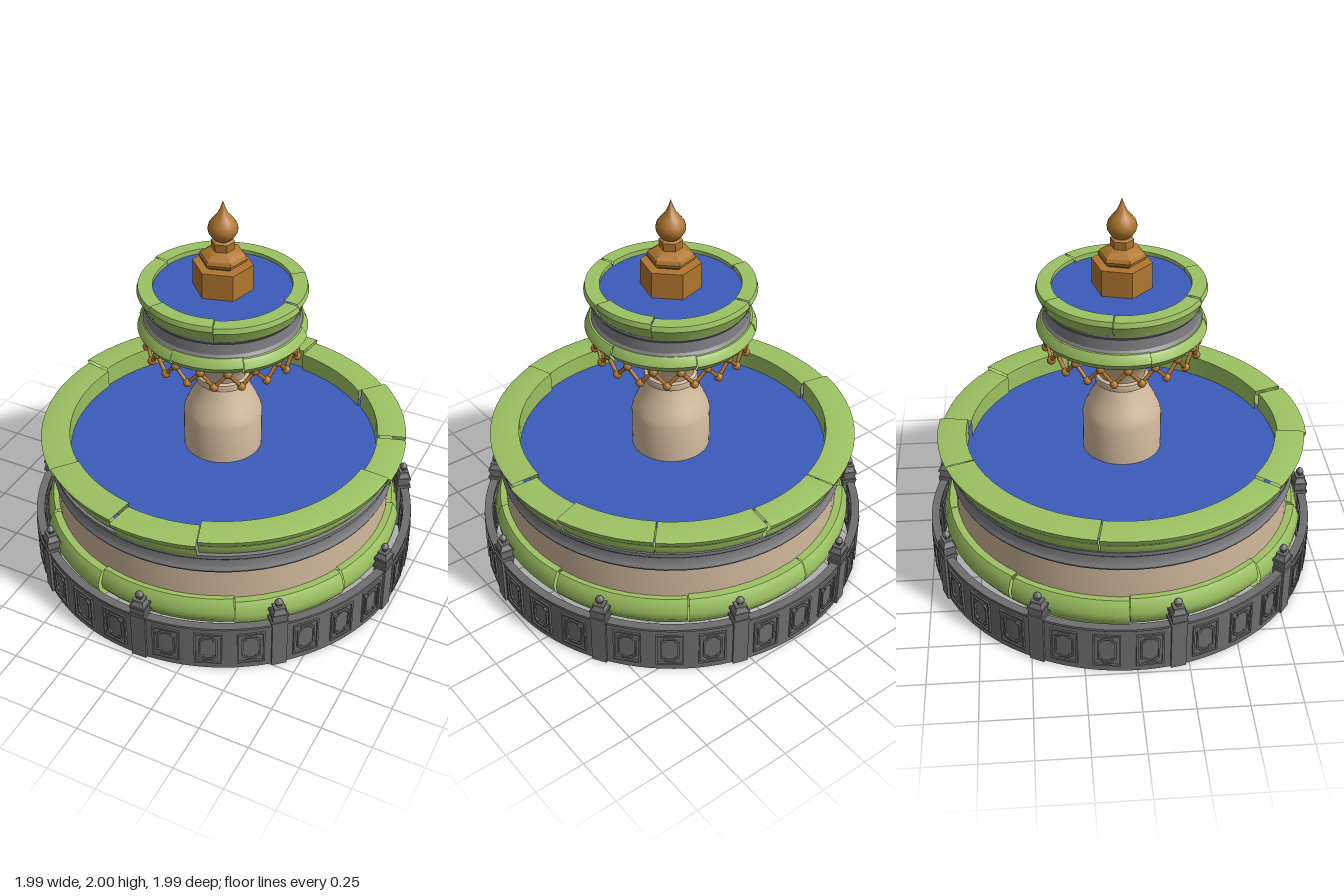
import * as THREE from 'three';
import { toCreasedNormals } from 'three/addons/utils/BufferGeometryUtils.js';

const paint = (name, color, side = THREE.FrontSide) => {
  const m = new THREE.MeshStandardMaterial({ color, side });
  m.name = name;
  return m;
};
const DEG = Math.PI / 180;

export function createModel() {
  const green = paint('green trim', 0x9cc262, THREE.DoubleSide);
  const grey = paint('grey band', 0x808084);
  const iron = paint('dark grey fence', 0x6e6e6f);
  const stone = paint('beige stone', 0xd2b99c);
  const bronze = paint('bronze', 0xb0762e);
  const blue = paint('blue water', 0x3c5cbc);

  const model = new THREE.Group();
  model.name = 'fountain';

  const add = (parent, name, geo, mat, x = 0, y = 0, z = 0) => {
    const mesh = new THREE.Mesh(geo, mat);
    mesh.name = name;
    mesh.position.set(x, y, z);
    parent.add(mesh);
    return mesh;
  };
  // Turned part from [radius, height] pairs, listed counterclockwise
  const turn = (pts, segs = 64, start = 0, length = Math.PI * 2, crease = 0.5) =>
    toCreasedNormals(new THREE.LatheGeometry(
      pts.map(([r, y]) => new THREE.Vector2(r, y)), segs, start, length), crease);

  // Ring of separate kerb stones, each slightly out of line
  const stoneRing = (name, profile, seams, jitter) => {
    const group = new THREE.Group();
    group.name = name;
    seams.forEach((a, i) => {
      const b = i + 1 < seams.length ? seams[i + 1] : seams[0] + 360;
      const dr = Math.sin(i * 2.4 + 1) * jitter, dy = Math.cos(i * 3.1) * jitter * 0.7;
      const pts = profile.map(([r, y]) => [r + dr, y + dy]);
      pts.push(pts[0]);
      add(group, 'kerbStone', turn(pts, Math.max(4, Math.round((b - a) / 5)),
        (a + 0.15) * DEG, (b - a - 0.3) * DEG), green);
    });
    model.add(group);
  };

  // Main basin
  add(model, 'basinDrum', turn([[0, 0.34], [0.86, 0.34], [0.86, 0.54]]), stone);
  add(model, 'basinBand', turn([[0.85, 0.525], [0.872, 0.525], [0.876, 0.535], [0.87, 0.55],
    [0.866, 0.56], [0.868, 0.6], [0.876, 0.61], [0.878, 0.63], [0.8, 0.635]]), grey);
  add(model, 'basinWater', new THREE.CircleGeometry(0.81, 64).rotateX(-Math.PI / 2), blue, 0, 0.64, 0);
  stoneRing('lowerKerb', [[0.775, 0.2], [0.88, 0.2], [0.915, 0.25], [0.92, 0.29], [0.905, 0.335],
    [0.89, 0.358], [0.775, 0.36]], [-172, -130, -92, -48, -14, 30, 66, 105, 148], 0.008);
  stoneRing('upperKerb', [[0.78, 0.63], [0.872, 0.63], [0.885, 0.65], [0.89, 0.68], [0.915, 0.71],
    [0.925, 0.738], [0.91, 0.743], [0.78, 0.743]], [-161, -101, -39, -8, 19, 87, 108, 138, 172], 0.009);

  // Column and flared bowl
  add(model, 'column', turn([[0.198, 0.6], [0.198, 0.84], [0.19, 0.87], [0.168, 0.92], [0.142, 0.97],
    [0.125, 1.02], [0.132, 1.025], [0.135, 1.04], [0.132, 1.06], [0.115, 1.065], [0.122, 1.09],
    [0.145, 1.14], [0.18, 1.19], [0.225, 1.25], [0.28, 1.3], [0.36, 1.325]], 48), stone);

  // Upper bowl
  add(model, 'bowlBand', turn([[0.35, 1.38], [0.385, 1.39], [0.374, 1.405], [0.372, 1.46],
    [0.383, 1.475], [0.383, 1.49], [0.34, 1.5]]), grey);
  stoneRing('bowlLowerTrim', [[0.33, 1.31], [0.388, 1.31], [0.414, 1.345], [0.402, 1.375],
    [0.39, 1.39], [0.33, 1.39]], [-140, -75, -10, 40, 100, 160], 0.004);
  stoneRing('bowlUpperTrim', [[0.335, 1.485], [0.385, 1.485], [0.395, 1.51], [0.412, 1.545],
    [0.405, 1.57], [0.335, 1.57]], [-155, -100, -30, 20, 85, 130], 0.004);
  add(model, 'bowlWater', new THREE.CircleGeometry(0.35, 48).rotateX(-Math.PI / 2), blue, 0, 1.548, 0);

  // Zigzag bead garland under the bowl
  const garland = new THREE.Group();
  garland.name = 'garland';
  model.add(garland);
  const bead = new THREE.SphereGeometry(0.021, 12, 8);
  const count = 36;
  const beadAt = i => {
    const a = (i / count) * Math.PI * 2;
    return new THREE.Vector3(Math.sin(a) * 0.372, i % 2 ? 1.295 : 1.222, Math.cos(a) * 0.372);
  };
  const up = new THREE.Vector3(0, 1, 0);
  for (let i = 0; i < count; i++) {
    const p = beadAt(i), q = beadAt(i + 1), d = q.clone().sub(p);
    add(garland, 'bead', bead, bronze, p.x, p.y, p.z);
    const link = add(garland, 'link', new THREE.CylinderGeometry(0.01, 0.01, d.length(), 6), bronze);
    link.position.copy(p).addScaledVector(d, 0.5);
    link.quaternion.setFromUnitVectors(up, d.normalize());
  }

  // Bronze finial on a hexagonal block
  const finial = new THREE.Group();
  finial.name = 'finial';
  finial.rotation.y = -15 * DEG;
  model.add(finial);
  add(finial, 'finialBlock', turn([[0, 1.53], [0.147, 1.53], [0.147, 1.68], [0, 1.68]], 6), bronze);
  add(finial, 'finialCushion', turn([[0, 1.675], [0.09, 1.68], [0.113, 1.695], [0.117, 1.71],
    [0.108, 1.728], [0.08, 1.745], [0.055, 1.755], [0.058, 1.795], [0.045, 1.803], [0, 1.805]], 6), bronze);
  add(finial, 'finialBulb', turn([[0.03, 1.795], [0.052, 1.815], [0.068, 1.84], [0.072, 1.86], [0.066, 1.885],
    [0.048, 1.91], [0.026, 1.935], [0.012, 1.965], [0, 2]], 24, 0, Math.PI * 2, 0.9), bronze);

  // Round fence
  const fence = new THREE.Group();
  fence.name = 'fence';
  fence.position.z = -0.01;
  model.add(fence);
  add(fence, 'fenceWall', turn([[0.95, 0], [0.982, 0], [0.982, 0.245], [0.987, 0.25], [0.987, 0.262],
    [0.945, 0.262], [0.945, 0.25], [0.95, 0.245], [0.95, 0]], 108), iron);

  // Border plate with cut corners (c = 0 gives a plain rectangle)
  const outline = (T, w, h, c) => {
    const s = new T();
    const pts = c ? [[-w + c, -h], [w - c, -h], [w - c, -h + c * 0.6], [w, -h + c], [w, h - c],
      [w - c, h - c * 0.6], [w - c, h], [-w + c, h], [-w + c, h - c * 0.6], [-w, h - c], [-w, -h + c],
      [-w + c, -h + c * 0.6]] : [[-w, -h], [w, -h], [w, h], [-w, h]];
    s.setFromPoints(pts.map(([x, y]) => new THREE.Vector2(x, y)));
    return s;
  };
  const border = (w, h, t, c) => {
    const s = outline(THREE.Shape, w, h, c);
    s.holes.push(outline(THREE.Path, w - t, h - t, c));
    return new THREE.ExtrudeGeometry(s, { depth: 0.012, bevelEnabled: false });
  };
  const outerFrame = border(0.067, 0.095, 0.009, 0);
  const innerFrame = border(0.046, 0.072, 0.008, 0.018);

  // Fence post parts: tapered square blocks as [bottom half, top half, from, to]
  const blocks = [[0.038, 0.038, 0, 0.265], [0.043, 0.043, 0.262, 0.278], [0.036, 0.036, 0.278, 0.31],
    [0.041, 0.041, 0.31, 0.322], [0.036, 0.022, 0.322, 0.345], [0.028, 0.028, 0.345, 0.357],
    [0.012, 0.012, 0.357, 0.37]];
  const postGeos = blocks.map(([a, b, y0, y1]) => new THREE.CylinderGeometry(
    b * Math.SQRT2, a * Math.SQRT2, y1 - y0, 4).rotateY(Math.PI / 4).toNonIndexed());
  postGeos.forEach(g => g.computeVertexNormals());
  const knob = turn([[0, 0.362], [0.018, 0.368], [0.023, 0.38], [0.016, 0.392], [0, 0.405]], 10);

  for (let k = 0; k < 9; k++) {
    const bay = new THREE.Group();
    bay.name = 'fenceBay';
    bay.rotation.y = (2 + k * 40) * DEG;
    fence.add(bay);
    const post = new THREE.Group();
    post.name = 'fencePost';
    post.position.z = 0.961;
    post.scale.z = 0.85;
    bay.add(post);
    postGeos.forEach((g, i) => add(post, 'postBlock', g, iron, 0, (blocks[i][2] + blocks[i][3]) / 2, 0));
    add(post, 'postKnob', knob, iron);
    // Three framed panels per bay, on both faces of the wall
    for (const a of [8, 20, 32]) {
      const panel = new THREE.Group();
      panel.name = 'fencePanel';
      panel.rotation.y = a * DEG;
      bay.add(panel);
      for (const g of [outerFrame, innerFrame]) {
        add(panel, 'panelFrame', g, iron, 0, 0.13, 0.977);
        add(panel, 'panelFrameInside', g, iron, 0, 0.13, 0.954).rotation.y = Math.PI;
      }
    }
  }
  return model;
}
